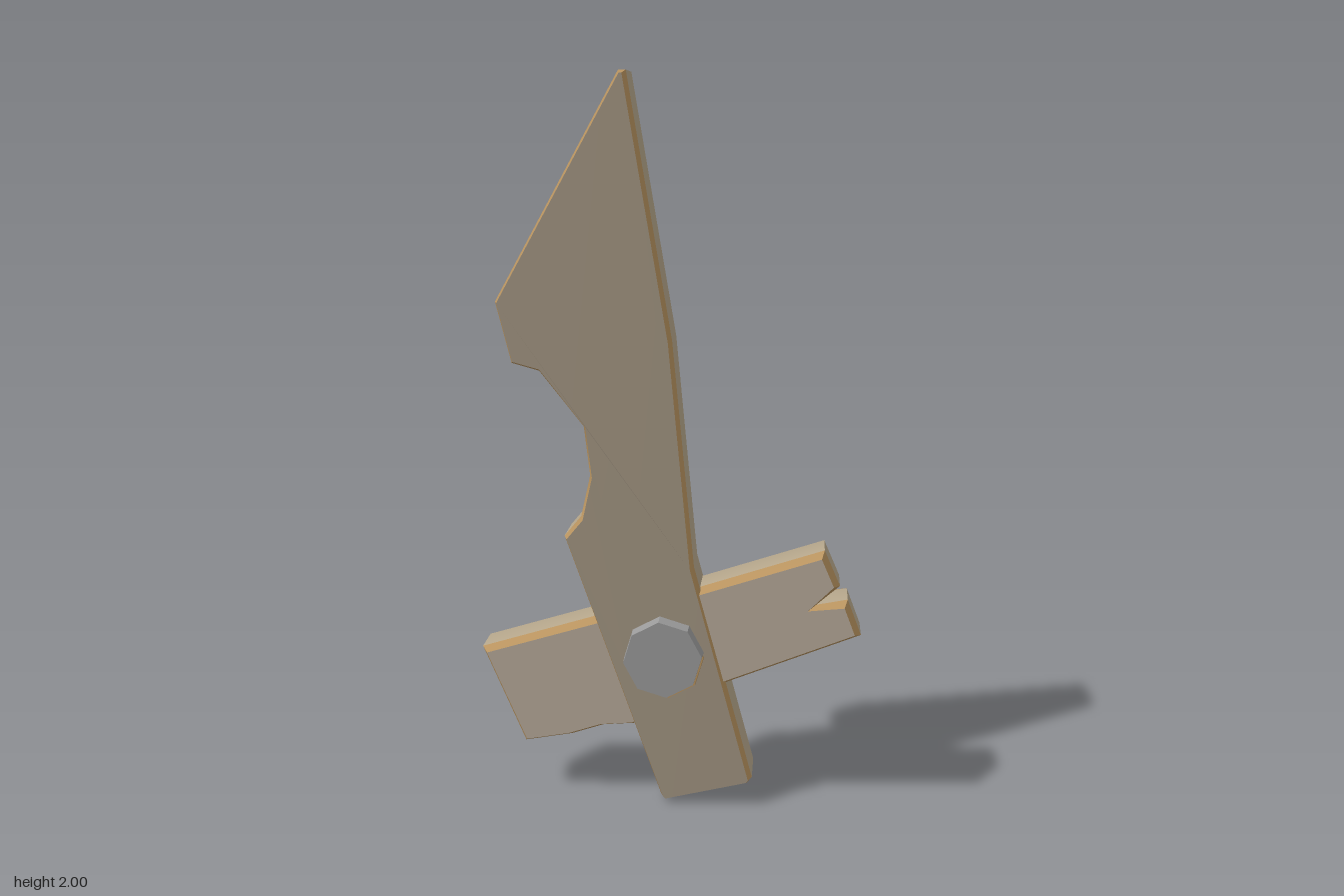
import * as THREE from 'three';
import { toCreasedNormals } from 'three/addons/utils/BufferGeometryUtils.js';

const mat = (color) => new THREE.MeshStandardMaterial({ color });

// Bevelled plank cut from an outline; lean(x, y) tilts it in z.
// Materials: faces, walls, worn bevels.
function plank(name, points, back, front, bevelSize, lean, materials) {
  const bevelThickness = 0.032;
  const shape = new THREE.Shape(points.map(([x, y]) => new THREE.Vector2(x, y)));
  const geo = new THREE.ExtrudeGeometry(shape, {
    depth: front - back - 2 * bevelThickness,
    bevelThickness, bevelSize, bevelOffset: -bevelSize, bevelSegments: 1,
  });
  geo.translate(0, 0, back + bevelThickness);

  const pos = geo.attributes.position;
  for (let i = 0; i < pos.count; i++) {
    pos.setZ(i, pos.getZ(i) + lean(pos.getX(i), pos.getY(i)));
  }

  // each outline segment has three quads: bevel, wall, bevel
  const [caps, sides] = geo.groups;
  geo.clearGroups();
  geo.addGroup(caps.start, caps.count, 0);
  for (let q = 0; q < sides.count / 6; q++) {
    geo.addGroup(sides.start + q * 6, 6, q % 3 === 1 ? 1 : 2);
  }
  const mesh = new THREE.Mesh(toCreasedNormals(geo, 0.6), materials);
  mesh.name = name;
  return mesh;
}

// Flat eight-sided disc facing +z
function octagon(name, rFront, rBack, zBack, zFront, x, y, material) {
  const geo = new THREE.CylinderGeometry(rFront, rBack, zFront - zBack, 8);
  geo.rotateX(Math.PI / 2);
  geo.rotateZ(0.1);
  geo.translate(x, y, (zBack + zFront) / 2);
  const mesh = new THREE.Mesh(geo, material);
  mesh.name = name;
  return mesh;
}

export function createModel() {
  const group = new THREE.Group();
  group.name = 'woodenSword';

  const wall = mat(0xb3a489);
  const worn = mat(0xb8935f);
  const bladeFace = mat(0xa09380);
  const guardFace = mat(0xb5a898);
  const steel = mat(0x999999);
  steel.flatShading = true;

  // Blade and grip in one piece, with a broken-out bite on the left edge
  const bladeOutline = [
    [-0.01, 0], [0.225, 0.058], [0.235, 0.07], [0.07, 0.68], [0.01, 1.3],
    [-0.11, 2], [-0.13, 2], [-0.467, 1.4], [-0.425, 1.235], [-0.35, 1.215],
    [-0.23, 1.065], [-0.214, 0.93], [-0.24, 0.815], [-0.287, 0.758], [-0.022, 0.015],
  ];
  group.add(plank('blade', bladeOutline, -0.105, 0.088, 0.009,
    (x) => 0.03 * Math.min(0, x + 0.1), [bladeFace, wall, worn]));

  // Crooked crossguard with a split right end
  const guardOutline = [
    [-0.534, 0.415], [-0.415, 0.135], [-0.28, 0.163], [-0.19, 0.195], [-0.1, 0.205],
    [0.165, 0.345], [0.528, 0.5], [0.49, 0.6], [0.4, 0.58], [0.468, 0.638],
    [0.425, 0.737], [0.09, 0.62], [-0.195, 0.525],
  ];
  group.add(plank('crossguard', guardOutline, -0.107, 0.062, 0.014,
    (x, y) => 0.055 * x + 0.03 * (y - 0.4), [guardFace, wall, worn]));

  // Bolt head on a thin wooden seat
  const seat = mat(0xb8935f);
  seat.flatShading = true;
  group.add(octagon('boltSeat', 0.108, 0.114, 0.07, 0.094, -0.008, 0.42, seat));
  group.add(octagon('bolt', 0.108, 0.113, 0.05, 0.133, -0.01, 0.435, steel));

  return group;
}
